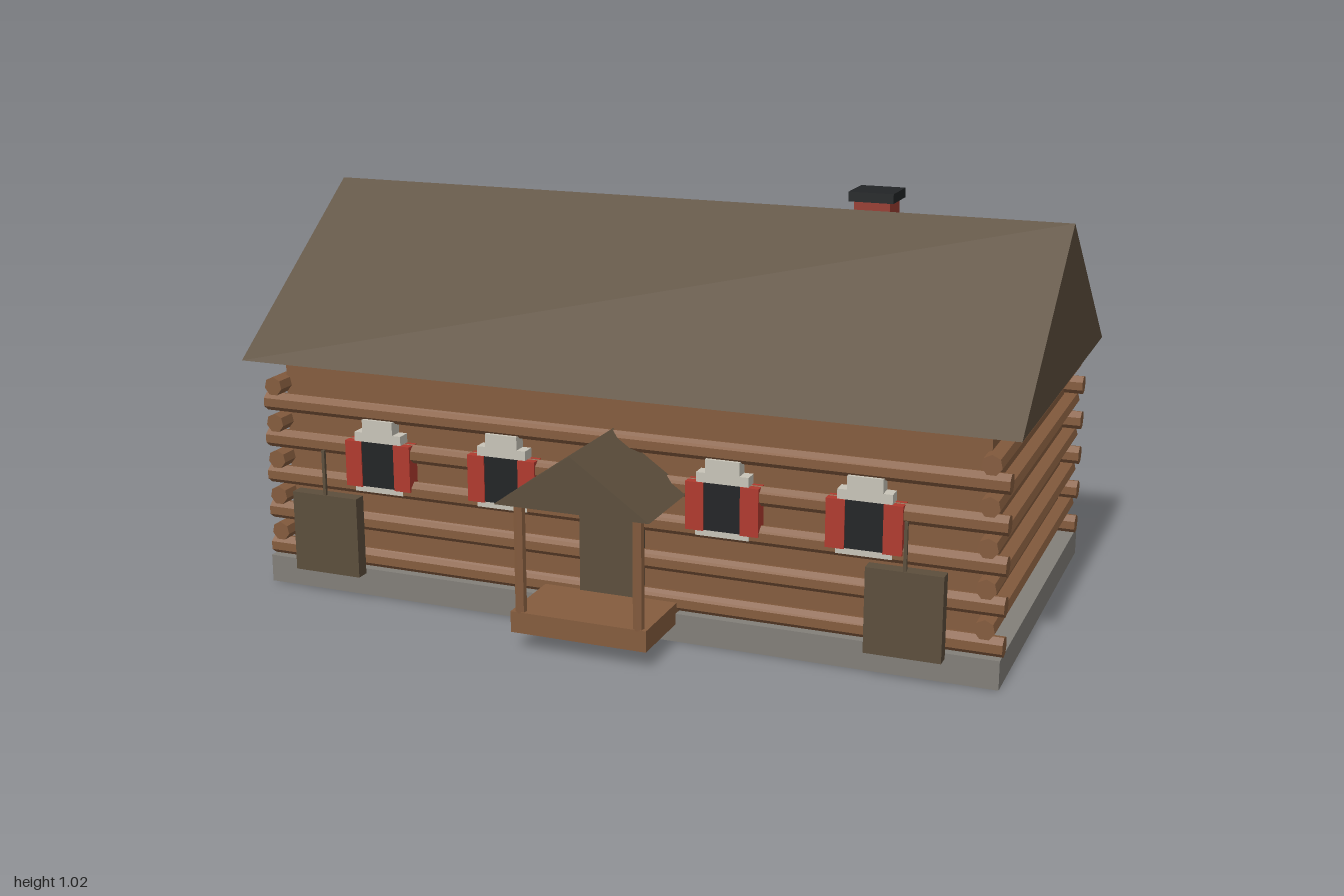
import * as THREE from 'three';

const mat = (name, color) => {
  const m = new THREE.MeshStandardMaterial({ color, flatShading: true });
  m.name = name;
  return m;
};

export function createModel() {
  const log = mat('log brown', 0x855c3e);
  const roofing = mat('roof brown', 0x5c4e3c);
  const stone = mat('stone grey', 0x827f79);
  const brick = mat('brick red', 0x973c31);
  const red = mat('shutter red', 0xb03a2e);
  const black = mat('black', 0x222426);
  const white = mat('trim white', 0xc8c4b8);

  const model = new THREE.Group();
  model.name = 'logCabin';

  const add = (parent, name, geometry, material) => {
    const mesh = new THREE.Mesh(geometry, material);
    mesh.name = name;
    parent.add(mesh);
    return mesh;
  };
  // box given by its limits on each axis
  const box = (parent, name, [x0, x1], [y0, y1], [z0, z1], material) => {
    const g = new THREE.BoxGeometry(x1 - x0, y1 - y0, z1 - z0);
    g.translate((x0 + x1) / 2, (y0 + y1) / 2, (z0 + z1) / 2);
    return add(parent, name, g, material);
  };
  // solid gable centred on its ridge, running along z
  const gable = (halfWidth, height, length) => {
    const s = new THREE.Shape();
    s.moveTo(-halfWidth, 0);
    s.lineTo(halfWidth, 0);
    s.lineTo(0, height);
    s.closePath();
    return new THREE.ExtrudeGeometry(s, { depth: length, bevelEnabled: false }).translate(0, 0, -length / 2);
  };

  // foundation and inner walls
  box(model, 'foundation', [-0.967, 0.967], [0, 0.072], [-0.59, 0.405], stone);
  box(model, 'innerWalls', [-0.92, 0.92], [0.07, 0.61], [-0.545, 0.363], log);

  // interlocking seven-sided logs, long and short walls alternating in height
  const walls = new THREE.Group();
  walls.name = 'logWalls';
  model.add(walls);
  const longLog = new THREE.CylinderGeometry(0.025, 0.025, 1.94, 7).rotateY(Math.PI).rotateZ(Math.PI / 2);
  const sideLog = new THREE.CylinderGeometry(0.025, 0.025, 1.01, 7).rotateX(-Math.PI / 2);
  for (let i = 0; i < 5; i++) {
    const y = 0.096 + i * 0.0977;
    for (const z of [0.375, -0.556]) add(walls, 'longLog', longLog, log).position.set(0, y, z);
    for (const x of [-0.93, 0.93]) add(walls, 'sideLog', sideLog, log).position.set(x, y + 0.049, -0.092);
  }

  // main roof
  add(model, 'roof', gable(0.533, 0.395, 2).rotateY(Math.PI / 2), roofing).position.set(0, 0.605, -0.092);

  // chimney
  box(model, 'chimney', [0.418, 0.512], [0.75, 1.0], [-0.314, -0.22], brick);
  box(model, 'chimneyCap', [0.406, 0.524], [1.0, 1.025], [-0.325, -0.208], black);

  // porch with door
  const porch = new THREE.Group();
  porch.name = 'porch';
  model.add(porch);
  box(porch, 'porchFloor', [-0.175, 0.175], [0.045, 0.098], [0.37, 0.595], log);
  add(porch, 'porchRoof', gable(0.197, 0.138, 0.255), roofing).position.set(0, 0.375, 0.5);
  for (const x of [-0.152, 0.152]) {
    add(porch, 'porchPost', new THREE.CylinderGeometry(0.014, 0.014, 0.285, 7), log).position.set(x, 0.238, 0.583);
  }
  box(porch, 'door', [-0.078, 0.078], [0.098, 0.355], [0.36, 0.404], roofing);

  // windows with trim and shutters
  for (const x of [-0.638, -0.29, 0.29, 0.638]) {
    const w = new THREE.Group();
    w.name = 'window';
    w.position.x = x;
    model.add(w);
    box(w, 'trimTop', [-0.043, 0.043], [0.43, 0.47], [0.36, 0.399], white);
    box(w, 'trimLintel', [-0.066, 0.066], [0.405, 0.436], [0.36, 0.399], white);
    box(w, 'trimSill', [-0.068, 0.068], [0.279, 0.3], [0.36, 0.399], white);
    box(w, 'pane', [-0.048, 0.048], [0.294, 0.412], [0.36, 0.4], black);
    for (const s of [-1, 1]) {
      box(w, 'shutter', [s * 0.069 - 0.023, s * 0.069 + 0.023], [0.292, 0.412], [0.36, 0.403], red);
    }
  }

  // upright boards with thin rods, one on each side of the front
  for (const x of [-0.755, 0.755]) {
    box(model, 'board', [x - 0.092, x + 0.092], [0.073, 0.282], [0.438, 0.473], roofing);
    box(model, 'boardRod', [x - 0.004, x + 0.004], [0.28, 0.4], [0.463, 0.471], roofing);
  }

  return model;
}
